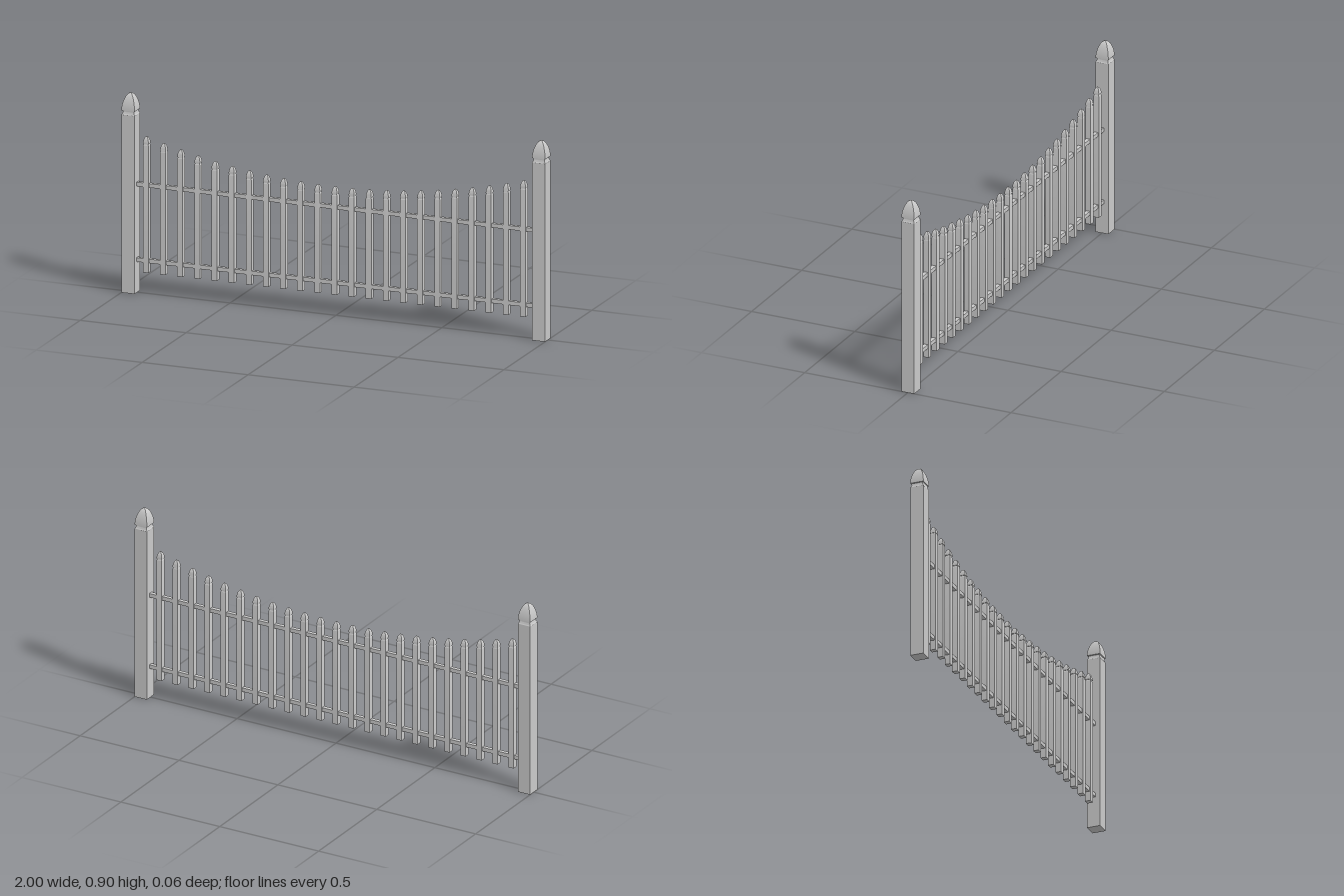
import * as THREE from 'three';
import { toCreasedNormals } from 'three/addons/utils/BufferGeometryUtils.js';

const material = new THREE.MeshStandardMaterial({ color: 0xcccccc });

// Acorn finial above the shaft: [half width, height], for a half width of 1
const FINIAL = [
  [1, 0], [0.9, 0.14], [0.84, 0.36], [0.86, 0.58], [1, 0.62], [0.99, 0.95],
  [0.94, 1.35], [0.85, 1.78], [0.72, 2.2], [0.54, 2.62], [0.3, 2.95], [0, 3.12],
];

// Square upright with a curved four-sided finial
function upright(name, half, bottom, top, x) {
  const shoulder = top - half * 3.12;
  const profile = [[0, bottom], [half, bottom],
    ...FINIAL.map(([r, h]) => [r * half, shoulder + h * half])];
  const points = profile.map(([r, y]) => new THREE.Vector2(r * Math.SQRT2, y));
  const lathe = new THREE.LatheGeometry(points, 4, Math.PI / 4);
  const mesh = new THREE.Mesh(toCreasedNormals(lathe, 0.6), material);
  mesh.name = name;
  mesh.position.x = x;
  return mesh;
}

export function createModel() {
  const fence = new THREE.Group();
  fence.name = 'fence';

  // End posts
  for (const side of [-1, 1]) {
    fence.add(upright(side > 0 ? 'leftPost' : 'rightPost', 0.031, 0, 0.905, side * 0.969));
  }

  // Pickets, their tops dipping towards the middle
  const pickets = new THREE.Group();
  pickets.name = 'pickets';
  for (let i = -11; i <= 11; i++) {
    const top = 0.587 + 0.127 * (i / 11) ** 2;
    pickets.add(upright('picket', 0.013, 0.097, top, i * 0.0809 - 0.003));
  }
  fence.add(pickets);

  // Horizontal rails between the posts
  for (const [name, y] of [['lowerRail', 0.15], ['upperRail', 0.493]]) {
    const rail = new THREE.Mesh(new THREE.BoxGeometry(1.88, 0.018, 0.018), material);
    rail.name = name;
    rail.position.y = y;
    fence.add(rail);
  }
  return fence;
}
